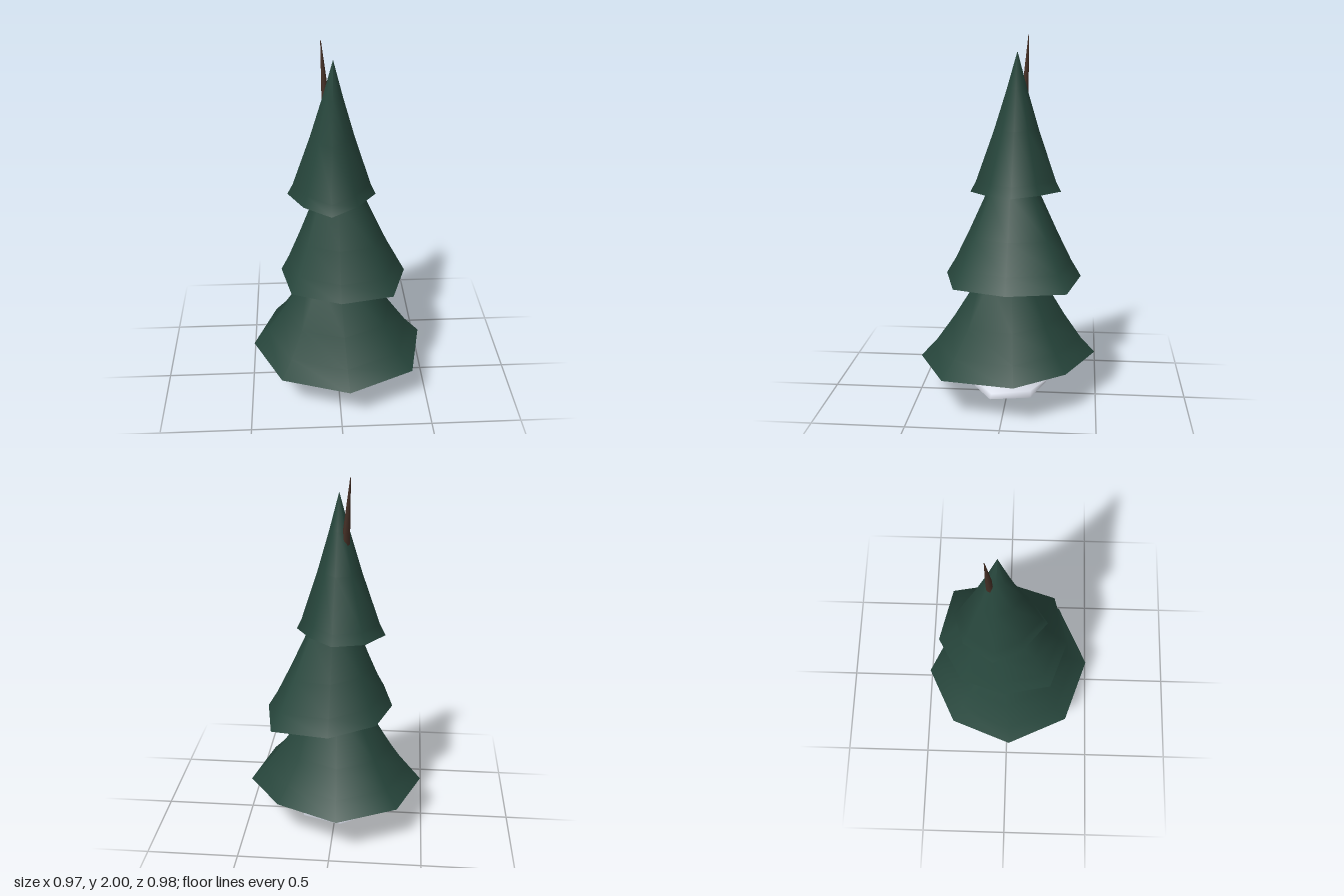
import * as THREE from 'three';

const needles = new THREE.MeshStandardMaterial({ color: 0x27463c, side: THREE.DoubleSide });
needles.name = 'pine green';
const bark = new THREE.MeshStandardMaterial({ color: 0x452f25, side: THREE.DoubleSide });
bark.name = 'bark brown';
const snow = new THREE.MeshStandardMaterial({ color: 0xdfe3ee, side: THREE.DoubleSide });
snow.name = 'snow white';

// Smooth open skin through rings of [x, y, z], bottom to top, clockwise seen from above
function loft(name, rings, material) {
  const n = rings[0].length, index = [];
  for (let r = 0; r < rings.length - 1; r++) {
    for (let i = 0; i < n; i++) {
      const a = r * n + i, b = r * n + (i + 1) % n;
      index.push(a, a + n, b + n, a, b + n, b);
    }
  }
  const geo = new THREE.BufferGeometry();
  geo.setAttribute('position', new THREE.Float32BufferAttribute(rings.flat(2), 3));
  geo.setIndex(index);
  geo.computeVertexNormals();
  const mesh = new THREE.Mesh(geo, material);
  mesh.name = name;
  return mesh;
}

// Flared skirt: the uneven rim shrinks towards the apex; profile holds [y, scale]
function tier(name, { rim, apex, profile, tilt }) {
  const rings = profile.map(([y, s]) => rim.map(([x, z]) => [
    apex[0] + (x - apex[0]) * s,
    y + (tilt[0] * x + tilt[1] * z) * s,
    apex[1] + (z - apex[1]) * s,
  ]));
  return loft(name, rings, needles);
}

const tiers = {
  lowerBranches: {
    rim: [[-0.04, -0.49], [0.295, -0.335], [0.485, -0.07], [0.405, 0.315],
      [0.045, 0.487], [-0.325, 0.36], [-0.488, 0.015], [-0.36, -0.33]],
    apex: [-0.01, -0.02], tilt: [0, -0.02],
    profile: [[0.23, 1], [0.32, 0.83], [0.46, 0.63], [0.7, 0.33], [0.94, 0.003]],
  },
  middleBranches: {
    rim: [[0.01, -0.405], [0.32, -0.335], [0.38, -0.02], [0.29, 0.265],
      [0.005, 0.34], [-0.26, 0.245], [-0.315, -0.02], [-0.235, -0.265]],
    apex: [0, -0.03], tilt: [-0.037, 0],
    profile: [[0.703, 1], [0.79, 0.86], [0.95, 0.65], [1.17, 0.38], [1.5, 0.003]],
  },
  topBranches: {
    rim: [[0, -0.29], [0.125, -0.175], [0.21, -0.035], [0.105, 0.105],
      [-0.04, 0.21], [-0.185, 0.09], [-0.27, -0.075], [-0.17, -0.235]],
    apex: [-0.02, -0.05], tilt: [0.02, -0.03],
    profile: [[1.162, 1], [1.22, 0.88], [1.5, 0.49], [1.72, 0.22], [1.915, 0.003]],
  },
};

export function createModel() {
  const tree = new THREE.Group();
  tree.name = 'pineTree';

  // Leaning six-sided trunk whose tip pokes out behind the top: [x, y, z, radius]
  const spine = [[0, 0, 0, 0.065], [0, 0.22, 0, 0.06], [-0.02, 0.9, -0.03, 0.045],
    [-0.06, 1.72, -0.09, 0.019], [-0.08, 2, -0.105, 0.002]];
  const trunkRings = spine.map(([x, y, z, r]) => Array.from({ length: 6 }, (_, i) => {
    const t = i * Math.PI / 3;
    return [x + r * Math.cos(t), y, z + r * Math.sin(t)];
  }));
  tree.add(loft('trunk', trunkRings, bark));

  for (const [name, spec] of Object.entries(tiers)) tree.add(tier(name, spec));

  // Low snow mound around the foot, open underneath
  const moundRim = [[-0.04, -0.215], [0.175, -0.14], [0.215, 0.08], [0.04, 0.185],
    [-0.17, 0.145], [-0.232, -0.08]];
  const moundWaist = [[-0.03, -0.235], [0.17, -0.14], [0.228, 0.07], [0.04, 0.182],
    [-0.165, 0.14], [-0.2, -0.08]];
  const shrink = (ring, s, y) => ring.map(([x, z]) => [x * s, y, z * s]);
  tree.add(loft('snowMound', [shrink(moundRim, 1, 0.042), shrink(moundWaist, 1, 0.08),
    shrink(moundWaist, 0.5, 0.112), shrink(moundWaist, 0.005, 0.118)], snow));

  return tree;
}
